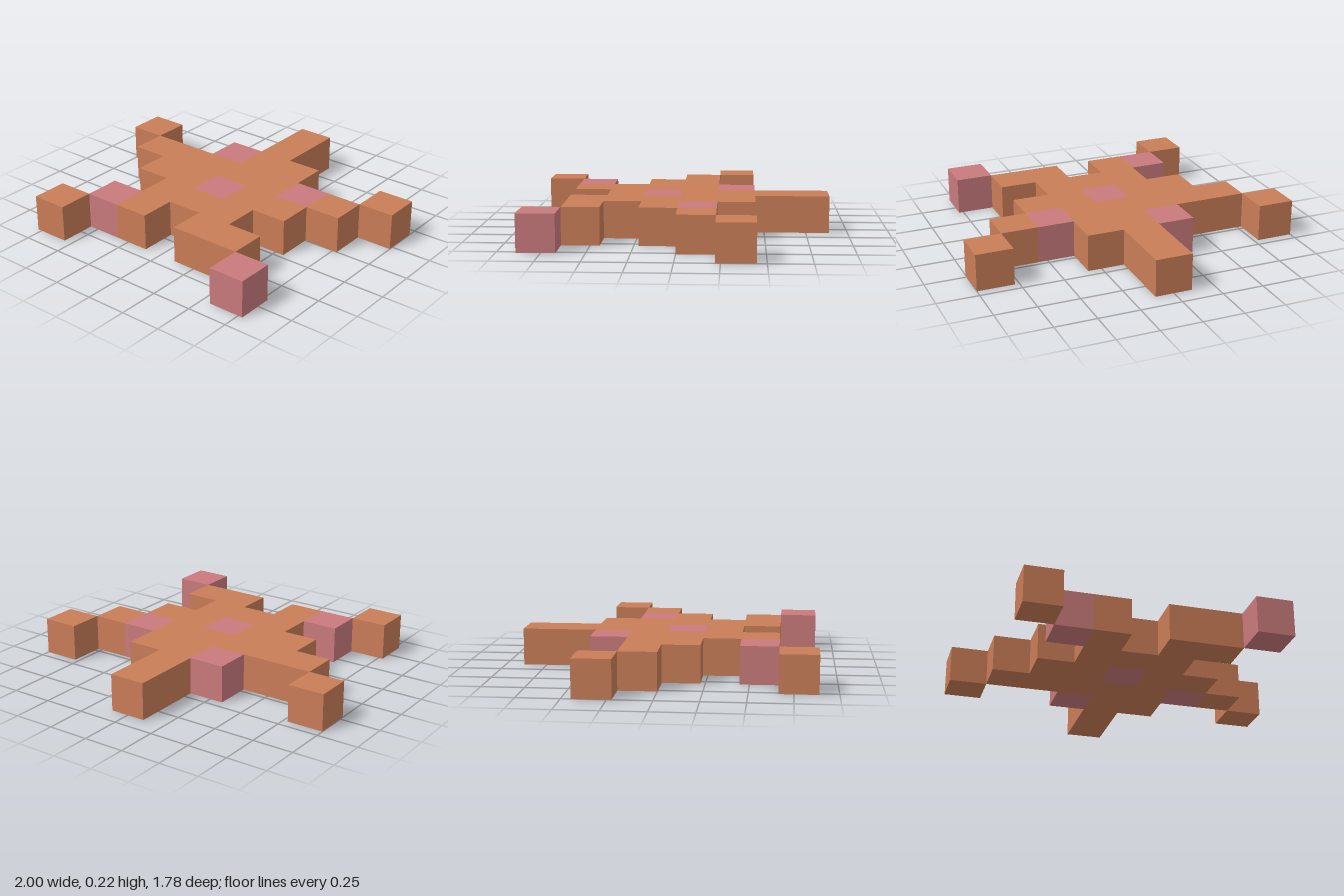
import * as THREE from 'three';

const CELL = 2 / 9; // nine blocks across, eight deep, one high

export function createModel() {
  const group = new THREE.Group();
  group.name = 'blockStar';

  const orange = new THREE.MeshStandardMaterial({ color: 0xc97d57 });
  orange.name = 'terracotta';
  const pink = new THREE.MeshStandardMaterial({ color: 0xc97a7c });
  pink.name = 'dusty pink';

  // One slab of blocks: first column, first row (from the back), columns, rows
  function slab(name, material, col, row, cols = 1, rows = 1) {
    const mesh = new THREE.Mesh(new THREE.BoxGeometry(cols * CELL, CELL, rows * CELL), material);
    mesh.position.set((col + cols / 2 - 4.5) * CELL, CELL / 2, (row + rows / 2 - 4) * CELL);
    mesh.name = name;
    group.add(mesh);
  }

  // Back point and shoulders
  slab('backPoint', orange, 4, 0, 1, 3);
  slab('leftShoulder', orange, 5, 2);
  slab('rightShoulderAccent', pink, 3, 2);

  // Side arms with their detached-looking tips
  slab('armSpan', orange, 1, 3, 5);
  slab('leftArmAccent', pink, 6, 3);
  slab('leftArm', orange, 7, 3);
  slab('leftArmTip', orange, 8, 2);
  slab('rightArmTip', orange, 0, 2);

  // Middle of the body around the centre block
  slab('rightWaist', orange, 2, 4, 2);
  slab('centreAccent', pink, 4, 4);
  slab('leftWaist', orange, 5, 4, 2);
  slab('hips', orange, 3, 5, 3);

  // Front legs
  slab('rightLeg', orange, 3, 6);
  slab('rightLegAccent', pink, 2, 6);
  slab('rightFoot', orange, 1, 7);
  slab('leftLeg', orange, 5, 6, 2);
  slab('leftFoot', pink, 7, 7);

  return group;
}
